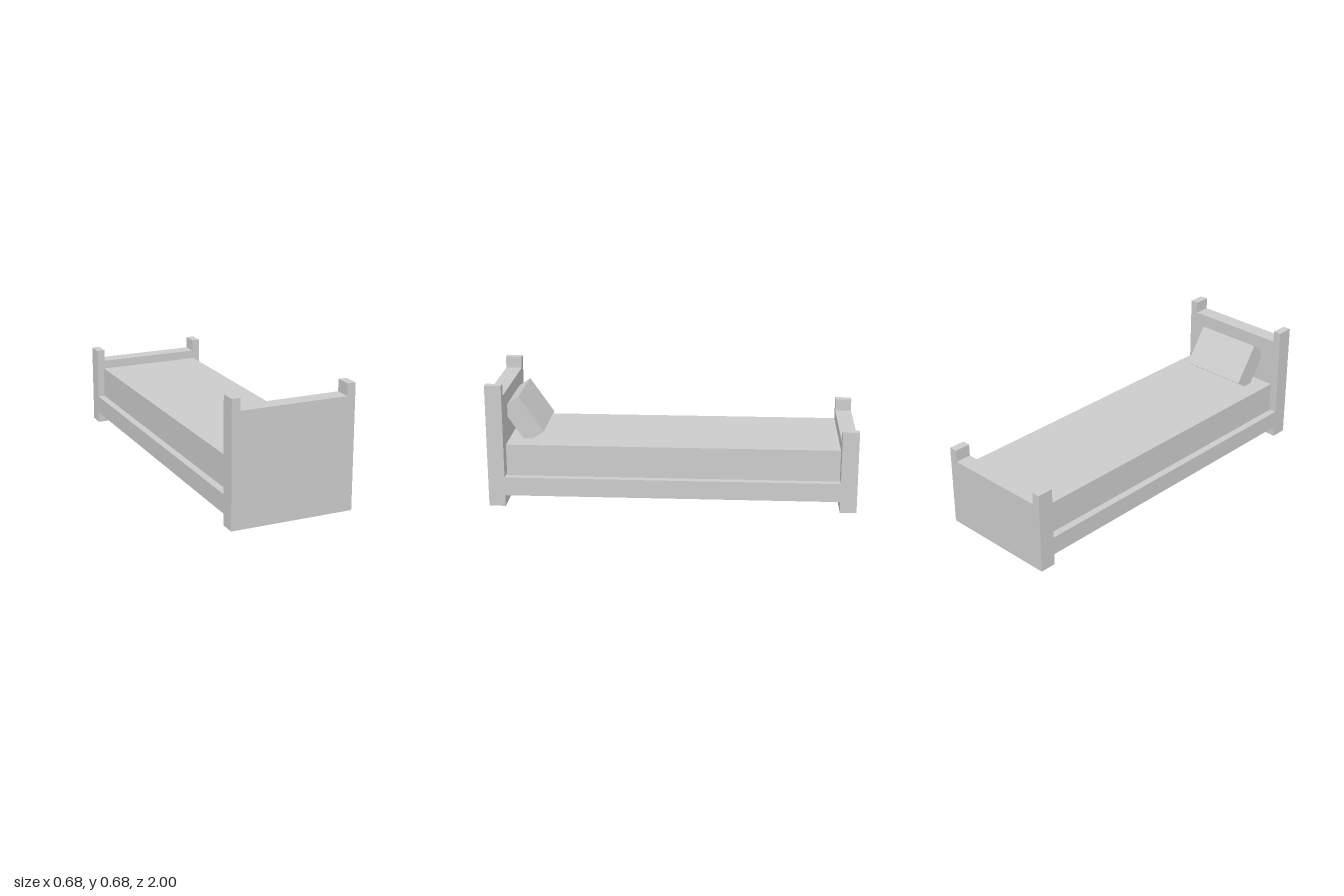
import * as THREE from 'three';

const material = new THREE.MeshStandardMaterial({ color: 0xcccccc, flatShading: true });

const HALF_WIDTH = 0.34;
const POST = 0.046;
const THICKNESS = 0.09;

function add(parent, name, geometry, x, y, z) {
  const mesh = new THREE.Mesh(geometry, material);
  mesh.name = name;
  mesh.position.set(x, y, z);
  parent.add(mesh);
  return mesh;
}

// End board: one slab whose two corner posts rise above the panel
function boardGeometry(postTop, panelTop) {
  const inner = HALF_WIDTH - POST;
  const outline = [
    [-HALF_WIDTH, 0], [HALF_WIDTH, 0], [HALF_WIDTH, postTop], [inner, postTop],
    [inner, panelTop], [-inner, panelTop], [-inner, postTop], [-HALF_WIDTH, postTop],
  ].map(([x, y]) => new THREE.Vector2(x, y));
  return new THREE.ExtrudeGeometry(new THREE.Shape(outline), { depth: THICKNESS, bevelEnabled: false });
}

export function createModel() {
  const bed = new THREE.Group();
  bed.name = 'bed';

  add(bed, 'headboard', boardGeometry(0.68, 0.615), 0, 0, 1 - THICKNESS);
  add(bed, 'footboard', boardGeometry(0.455, 0.388), 0, 0, -1);

  // Base flush with the outer faces of the posts
  add(bed, 'bedBase', new THREE.BoxGeometry(2 * HALF_WIDTH, 0.103, 1.82), 0, 0.1135, 0);

  // Mattress, set in from the sides to leave a ledge
  add(bed, 'mattress', new THREE.BoxGeometry(0.6, 0.175, 1.81), 0, 0.2525, -0.002);

  // Pillow leaning on the headboard, sunk a little into it and the mattress
  const pillow = add(bed, 'pillow', new THREE.BoxGeometry(0.39, 0.237, 0.117), -0.01, 0.447, 0.8275);
  pillow.rotation.x = 0.6;

  return bed;
}
